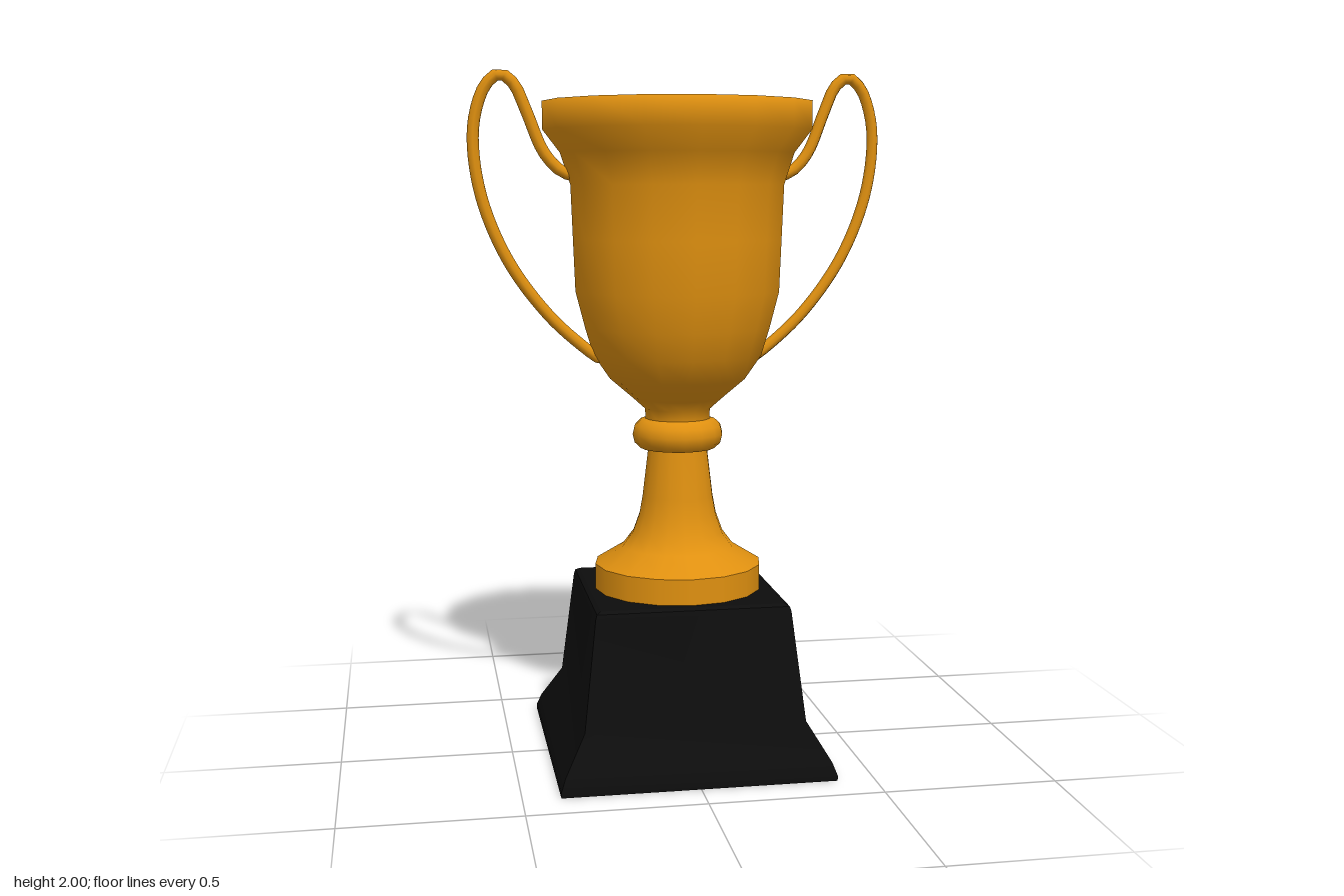
import * as THREE from 'three';
import { toCreasedNormals } from 'three/addons/utils/BufferGeometryUtils.js';

const gold = new THREE.MeshStandardMaterial({ color: 0xdf9010 });
gold.name = 'gold';
const black = new THREE.MeshStandardMaterial({ color: 0x0d0d0d });
black.name = 'black';

const profile = (pts) => pts.map(([r, y]) => new THREE.Vector2(r, y));

function addMesh(parent, name, geometry, material) {
  const mesh = new THREE.Mesh(geometry, material);
  mesh.name = name;
  parent.add(mesh);
  return mesh;
}

// Each turned part is its own lathe, so edges between parts stay sharp
const turned = (parent, name, pts) =>
  addMesh(parent, name, new THREE.LatheGeometry(profile(pts), 16), gold);

function makeHandle(side) {
  const handle = new THREE.Group();
  handle.name = side > 0 ? 'leftHandle' : 'rightHandle';
  const path = [
    [0.295, 1.7, 0], [0.335, 1.712, 0], [0.385, 1.765, -0.003], [0.435, 1.885, -0.007],
    [0.47, 1.96, -0.01], [0.508, 1.984, -0.012], [0.546, 1.955, -0.014], [0.578, 1.87, -0.016],
    [0.584, 1.77, -0.016], [0.558, 1.62, -0.013], [0.485, 1.45, -0.008], [0.37, 1.295, -0.003],
    [0.265, 1.2, 0], [0.235, 1.178, 0],
  ].map(([x, y, z]) => new THREE.Vector3(side * x, y, z));
  const curve = new THREE.CatmullRomCurve3(path);
  addMesh(handle, 'handleTube', new THREE.TubeGeometry(curve, 48, 0.017, 8), gold);
  // Rounded ends of the tube
  for (const end of [path[0], path[path.length - 1]]) {
    addMesh(handle, 'handleEnd', new THREE.SphereGeometry(0.017, 8, 6), gold).position.copy(end);
  }
  return handle;
}

export function createModel() {
  const trophy = new THREE.Group();
  trophy.name = 'trophy';

  // Square plinth: a four-sided lathe from half-widths
  const plinthProfile = [
    [0, 0], [0.393, 0], [0.393, 0.015], [0.38, 0.05], [0.318, 0.155],
    [0.281, 0.47], [0.277, 0.483], [0.265, 0.49], [0, 0.49],
  ].map(([w, y]) => [w * Math.SQRT2, y]);
  const plinth = new THREE.LatheGeometry(profile(plinthProfile), 4, Math.PI / 4);
  addMesh(trophy, 'plinth', toCreasedNormals(plinth, 0.5), black);

  // Foot and stem
  turned(trophy, 'footBand', [[0.247, 0.488], [0.247, 0.565]]);
  turned(trophy, 'stem', [
    [0.247, 0.565], [0.165, 0.615], [0.135, 0.655], [0.115, 0.71], [0.105, 0.765], [0.088, 0.905],
  ]);

  // Rounded collar
  turned(trophy, 'collar', [
    [0.085, 0.905], [0.11, 0.908], [0.128, 0.925], [0.134, 0.95], [0.128, 0.975], [0.11, 0.992], [0.09, 0.997],
  ]);

  // Bowl outside, flaring to the rim
  turned(trophy, 'bowl', [
    [0.095, 0.99], [0.097, 1.025], [0.13, 1.055], [0.2, 1.115], [0.248, 1.185], [0.272, 1.265],
    [0.299, 1.37], [0.305, 1.52], [0.311, 1.675], [0.34, 1.765], [0.39, 1.83], [0.39, 1.91], [0.325, 1.908],
  ]);

  // Bowl inside
  turned(trophy, 'bowlLining', [
    [0.325, 1.908], [0.295, 1.78], [0.282, 1.675], [0.272, 1.38], [0.225, 1.2], [0.12, 1.1], [0, 1.07],
  ]);

  for (const side of [1, -1]) trophy.add(makeHandle(side));
  return trophy;
}
